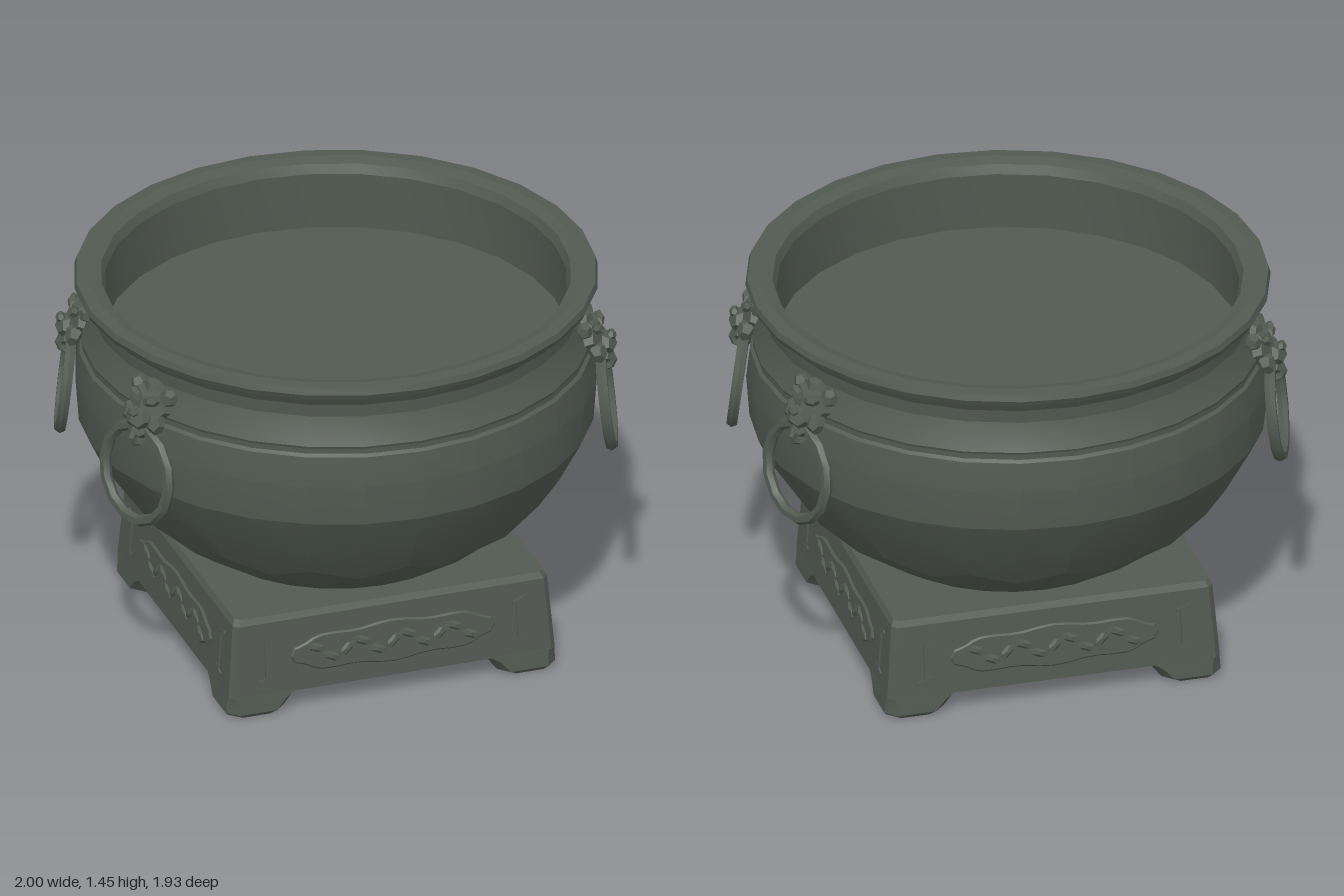
import * as THREE from 'three';
import { toCreasedNormals } from 'three/addons/utils/BufferGeometryUtils.js';

const bronze = new THREE.MeshStandardMaterial({ color: 0x525a51 });
bronze.name = 'dark green bronze';

function add(parent, name, geometry, x = 0, y = 0, z = 0, crease = 0.3) {
  const mesh = new THREE.Mesh(toCreasedNormals(geometry, crease), bronze);
  mesh.name = name;
  mesh.position.set(x, y, z);
  parent.add(mesh);
  return mesh;
}

// Closed loft through square sections [x0, x1, y, chamfer], listed upwards
function loftSquares(sections) {
  const pos = [], idx = [];
  for (const [a, b, y, c] of sections) {
    const corners = [[a, b - c], [a + c, b], [b - c, b], [b, b - c], [b, a + c], [b - c, a], [a + c, a], [a, a + c]];
    for (const [x, z] of corners) pos.push(x, y, z);
  }
  const top = (sections.length - 1) * 8;
  for (let s = 0; s < top; s += 8) {
    for (let i = 0; i < 8; i++) {
      const j = (i + 1) % 8;
      idx.push(s + i, s + j, s + 8 + j, s + i, s + 8 + j, s + 8 + i);
    }
  }
  for (let i = 1; i < 7; i++) idx.push(0, i + 1, i, top, top + i, top + i + 1);
  const g = new THREE.BufferGeometry();
  g.setAttribute('position', new THREE.Float32BufferAttribute(pos, 3));
  g.setIndex(idx);
  return g;
}

// Flattened faceted lump used for carved detail
function lump(parent, name, x, y, z, sx, sy, sz, turn = 0) {
  const m = add(parent, name, new THREE.DodecahedronGeometry(1), x, y, z, 0.1);
  m.scale.set(sx, sy, sz);
  m.rotation.z = turn;
  return m;
}

// Bowl: outer wall, flared lip, inner wall and flat inner floor
function makeBowl(parent) {
  const profile = [
    [0, 0.37], [0.49, 0.375], [0.62, 0.46], [0.76, 0.56], [0.89, 0.755], [0.95, 0.88], [0.962, 1.04],
    [0.948, 1.155], [0.936, 1.165], [0.936, 1.185], [0.94, 1.195], [0.915, 1.25], [0.9, 1.3],
    [0.903, 1.35], [0.925, 1.39], [0.955, 1.398], [0.965, 1.42], [0.958, 1.443],
    [0.91, 1.447], [0.865, 1.435], [0.85, 1.4], [0.85, 1.18], [0, 1.18],
  ].map(([r, y]) => new THREE.Vector2(r, y));
  const sides = 28;
  const g = new THREE.LatheGeometry(profile, sides);
  const p = g.attributes.position;
  // Hammered look: slide the lower wall points along the wall in a zigzag
  for (let i = 0; i <= sides; i++) {
    for (const row of [3, 4]) {
      const k = i * profile.length + row;
      const t = ((i + row) % 2 ? 1 : -1) * 0.1;
      const next = profile[row + Math.sign(t)], here = profile[row];
      const r = here.x + (next.x - here.x) * Math.abs(t) * 2;
      const s = r / here.x;
      p.setXYZ(k, p.getX(k) * s, here.y + (next.y - here.y) * Math.abs(t) * 2, p.getZ(k) * s);
    }
  }
  add(parent, 'bowl', g, 0, 0, 0, 0.27);
}

// Carved panel for one side of the stand, facing +z
function makePanel() {
  const panel = new THREE.Group();
  panel.name = 'carvedPanel';
  const outline = new THREE.Shape();
  const n = 40;
  for (let i = 0; i < n; i++) {
    const a = (i / n) * Math.PI * 2;
    const wobble = 1 + 0.1 * Math.cos(a * 8);
    const x = 0.38 * Math.cos(a) * (1 + 0.03 * Math.cos(a * 8));
    const y = 0.072 * Math.sign(Math.sin(a)) * Math.pow(Math.abs(Math.sin(a)), 0.6) * wobble;
    i ? outline.lineTo(x, y) : outline.moveTo(x, y);
  }
  const relief = new THREE.ExtrudeGeometry(outline, {
    depth: 0.006, bevelEnabled: true, bevelThickness: 0.006, bevelSize: 0.006, bevelSegments: 1,
  });
  add(panel, 'cartouche', relief, 0, 0, -0.004);
  // Winding scroll of leaves
  for (let i = -5; i <= 5; i++) {
    lump(panel, 'scrollLeaf', i * 0.06, 0.025 * Math.sin(i * 2.1), 0.008, 0.042, 0.017, 0.011, Math.cos(i * 2.1) * 0.8);
  }
  // Upright brackets at both ends
  for (const s of [-1, 1]) {
    add(panel, 'bracketBar', new THREE.BoxGeometry(0.014, 0.15, 0.012), s * 0.49, 0, 0);
    for (const t of [-1, 1]) {
      const foot = add(panel, 'bracketFoot', new THREE.BoxGeometry(0.06, 0.012, 0.012), s * 0.495, t * 0.078, 0);
      foot.rotation.z = s * t * 0.35;
    }
  }
  return panel;
}

// Square stand with four tapered feet
function makeStand(parent) {
  const stand = new THREE.Group();
  stand.name = 'stand';
  parent.add(stand);
  add(stand, 'standBlock', loftSquares([
    [-0.634, 0.634, 0.08, 0.02], [-0.612, 0.612, 0.365, 0.02], [-0.6, 0.6, 0.388, 0.02],
  ]));
  for (let i = 0; i < 4; i++) {
    const foot = add(stand, 'foot', loftSquares([
      [0.435, 0.63, 0, 0.045], [0.415, 0.641, 0.015, 0.04], [0.38, 0.637, 0.06, 0.035], [0.35, 0.634, 0.085, 0.025],
    ]));
    foot.rotation.y = i * Math.PI / 2;
    const side = new THREE.Group();
    side.name = 'standSide';
    side.rotation.y = i * Math.PI / 2;
    const panel = makePanel();
    panel.position.set(0, 0.22, 0.624);
    panel.rotation.x = -0.077;
    side.add(panel);
    stand.add(side);
  }
}

// Beast-head handle with a hanging ring, facing +z
function makeHandle() {
  const handle = new THREE.Group();
  handle.name = 'ringHandle';
  const head = new THREE.Group();
  head.name = 'beastHead';
  head.rotation.x = -0.35;
  handle.add(head);
  lump(head, 'skull', 0, 0.02, -0.01, 0.105, 0.09, 0.06);
  lump(head, 'snout', 0, -0.035, 0.035, 0.058, 0.045, 0.045);
  lump(head, 'nose', 0, -0.012, 0.07, 0.028, 0.02, 0.018);
  lump(head, 'jaw', 0, -0.08, 0.015, 0.05, 0.03, 0.04);
  lump(head, 'crest', 0, 0.085, -0.005, 0.055, 0.035, 0.035);
  for (const s of [-1, 1]) {
    lump(head, 'brow', s * 0.045, 0.045, 0.04, 0.042, 0.02, 0.022, s * 0.35);
    lump(head, 'ear', s * 0.085, 0.075, -0.005, 0.034, 0.036, 0.032, s * -0.5);
    lump(head, 'cheek', s * 0.07, -0.03, 0.01, 0.035, 0.045, 0.035);
  }
  const link = add(handle, 'ringLink', new THREE.TorusGeometry(0.032, 0.014, 5, 8), 0, -0.09, 0.045);
  link.rotation.y = Math.PI / 2;
  const ring = add(handle, 'ring', new THREE.TorusGeometry(0.183, 0.022, 6, 14), 0, -0.243, 0.052, 0.5);
  ring.rotation.x = -0.12;
  return handle;
}

export function createModel() {
  const model = new THREE.Group();
  model.name = 'bronzeBasin';
  makeBowl(model);
  makeStand(model);
  // Two handles on each side
  const turn = 0.35;
  for (const sx of [-1, 1]) {
    for (const sz of [-1, 1]) {
      const handle = makeHandle();
      handle.position.set(sx * 0.865, 1.2, sz * 0.378);
      handle.rotation.y = Math.atan2(sx * Math.cos(turn), sz * Math.sin(turn));
      model.add(handle);
    }
  }
  return model;
}
